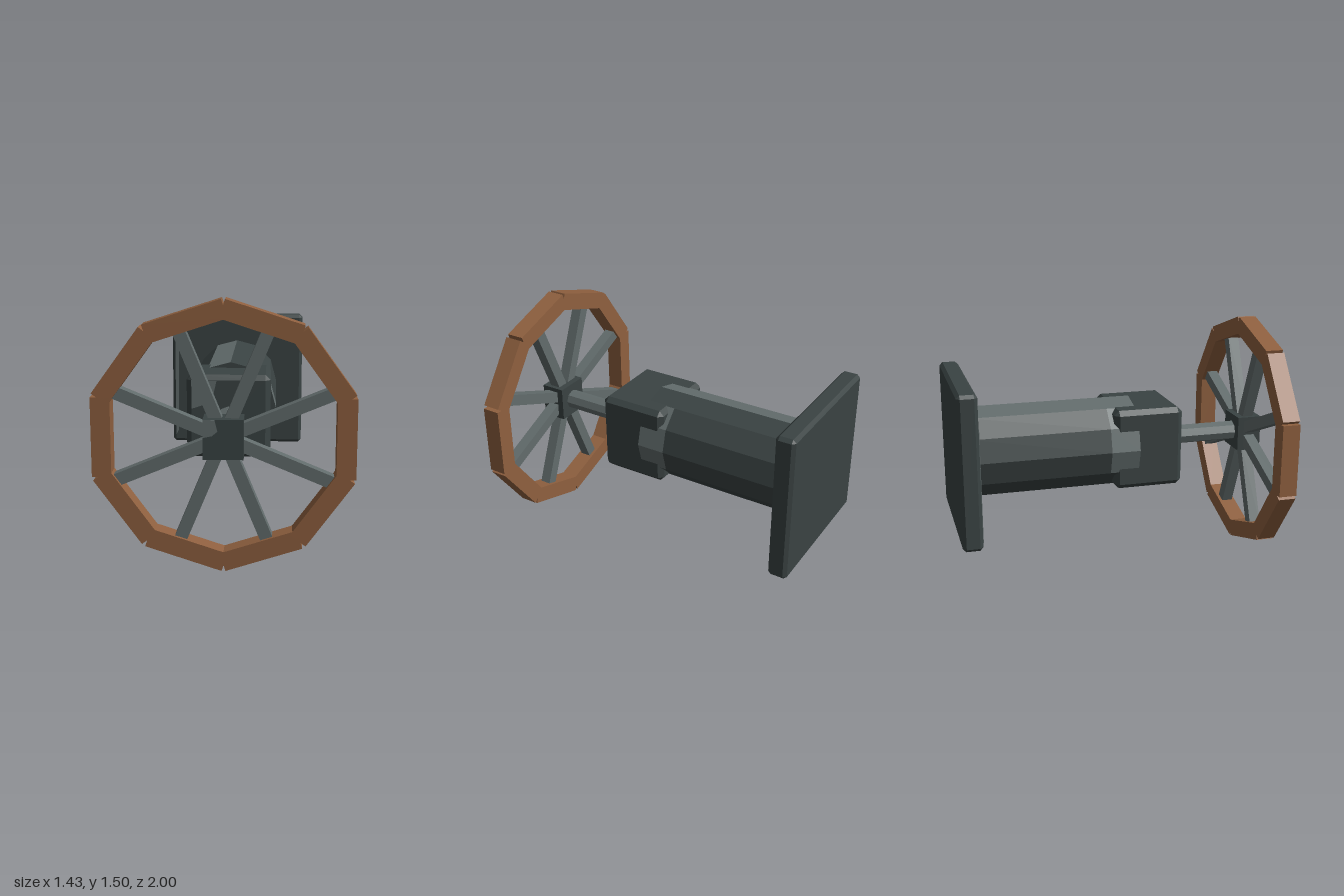
import * as THREE from 'three';
import { ConvexGeometry } from 'three/addons/geometries/ConvexGeometry.js';

const AXIS_Y = 0.755;

function flat(name, color) {
  const m = new THREE.MeshStandardMaterial({ color, flatShading: true });
  m.name = name;
  return m;
}

// Box with every edge cut at 45 degrees
function chamferBox(w, h, d, c) {
  const pts = [];
  for (const x of [-1, 1]) for (const y of [-1, 1]) for (const z of [-1, 1]) {
    const a = x * w / 2, b = y * h / 2, e = z * d / 2;
    pts.push(
      new THREE.Vector3(a, b - y * c, e - z * c),
      new THREE.Vector3(a - x * c, b, e - z * c),
      new THREE.Vector3(a - x * c, b - y * c, e));
  }
  return new ConvexGeometry(pts);
}

// Twelve-sided barrel along z; the listed faces take the second material
function barrel(r, z0, z1, lightFaces, open) {
  const g = new THREE.CylinderGeometry(r, r, z1 - z0, 12, 1, open);
  g.rotateX(Math.PI / 2);
  g.translate(0, 0, (z0 + z1) / 2);
  g.clearGroups();
  for (let i = 0; i < 12; i++) g.addGroup(i * 6, 6, lightFaces.includes(i) ? 1 : 0);
  if (!open) g.addGroup(72, 72, 0);
  return g;
}

export function createModel() {
  const iron = flat('dark iron', 0x3a4343);
  const steel = flat('worn steel', 0x626c6c);
  const wood = flat('brown rim', 0x8f603f);

  const model = new THREE.Group();
  model.name = 'valveWheel';
  const add = (name, geo, mat, x, y, z, parent = model) => {
    const m = new THREE.Mesh(geo, mat);
    m.name = name;
    m.position.set(x, y, z);
    parent.add(m);
    return m;
  };
  // Thin worn patch facing forward
  const patch = (name, pts, z) => {
    const shape = new THREE.Shape(pts.map(p => new THREE.Vector2(...p)));
    add(name, new THREE.ExtrudeGeometry(shape, { depth: 0.003, bevelEnabled: false }), steel, 0, 0, z);
  };

  // Wall flange
  add('flange', chamferBox(0.94, 0.94, 0.12, 0.02), iron, 0, 0.752, -0.94);
  patch('flangeWear', [[-0.45, 0.33], [-0.43, 0.37], [-0.425, 0.98], [-0.45, 1.02]], -0.88);

  // Pipe and its worn front collar
  add('pipe', barrel(0.282, -0.89, -0.05, [6], true), [iron, steel], 0, AXIS_Y, 0);
  add('collar', barrel(0.282, -0.05, 0.13, [2, 3, 4, 6, 7, 8, 9], false), [iron, steel], 0, AXIS_Y, 0);

  // Valve housing
  add('housing', chamferBox(0.5, 0.5, 0.435, 0.03), iron, 0, 0.752, 0.195);
  patch('housingWear', [[-0.22, 0.97], [-0.07, 0.97], [-0.1, 0.84], [-0.22, 0.8]], 0.411);

  // Shaft
  const shaft = new THREE.CylinderGeometry(0.062, 0.062, 0.47, 8);
  shaft.rotateX(Math.PI / 2);
  add('shaft', shaft, steel, 0, AXIS_Y, 0.63);

  // Hand wheel: hub, eight spokes and ten rim segments
  const wheel = new THREE.Group();
  wheel.name = 'handWheel';
  wheel.position.set(0, AXIS_Y, 0.92);
  model.add(wheel);
  add('hub', new THREE.BoxGeometry(0.22, 0.22, 0.154), iron, 0, 0, 0.002, wheel);
  patch('hubWear', [[-0.108, 0.863], [-0.045, 0.863], [-0.03, 0.8], [-0.06, 0.775], [-0.108, 0.765]], 0.997);

  const spoke = new THREE.BoxGeometry(0.57, 0.07, 0.07);
  for (let i = 0; i < 8; i++) {
    const a = (i + 0.5) * Math.PI / 4;
    add('spoke', spoke, steel, Math.cos(a) * 0.36, Math.sin(a) * 0.36, 0, wheel).rotation.z = a;
  }
  const segment = new THREE.BoxGeometry(0.107, 0.443, 0.11);
  for (let i = 0; i < 10; i++) {
    const a = i * Math.PI / 5;
    add('rimSegment', segment, wood, Math.cos(a) * 0.663, Math.sin(a) * 0.663, 0, wheel).rotation.z = a;
  }
  return model;
}
